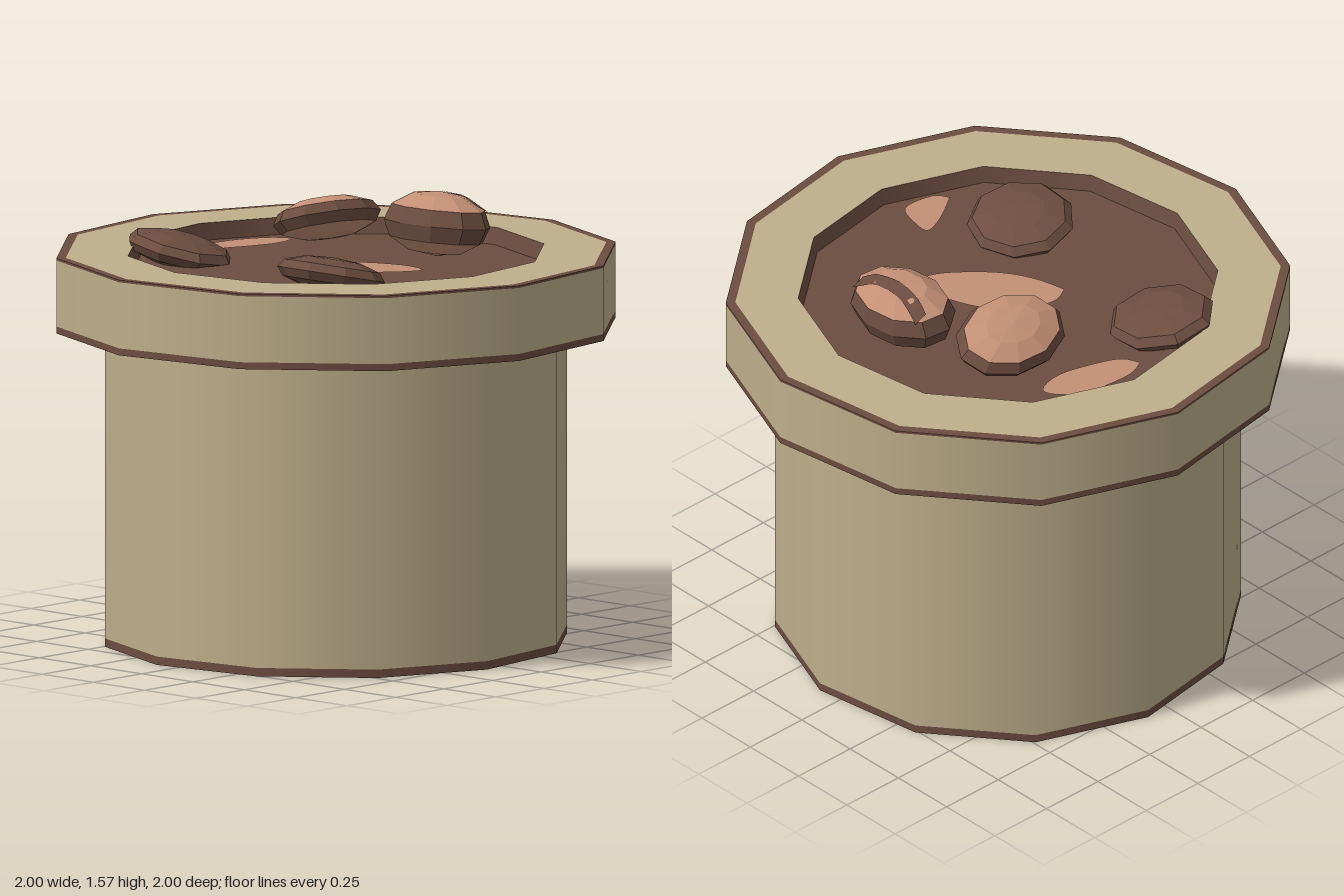
import * as THREE from 'three';

const mat = (name, color) => {
  const m = new THREE.MeshStandardMaterial({ color });
  m.name = name;
  return m;
};

export function createModel() {
  const model = new THREE.Group();
  model.name = 'soilPot';
  const clay = mat('sandyClay', 0xbfaf8c);
  const brown = mat('darkBrown', 0x6c4d40);
  const tan = mat('lightStone', 0xc49076);

  const add = (parent, name, geometry, material) => {
    const mesh = new THREE.Mesh(geometry, material);
    mesh.name = name;
    parent.add(mesh);
    return mesh;
  };
  const flat = (geometry) => {
    const g = geometry.toNonIndexed();
    g.computeVertexNormals();
    return g;
  };
  const v2 = (p) => new THREE.Vector2(p[0], p[1]);

  // Twelve-sided pot, walked from the base up the outside and down into the opening
  const SOIL = 1.34;
  const bands = [
    ['base', clay, [0, 0], [0.83, 0]],
    ['baseTrim', brown, [0.83, 0], [0.83, 0.03]],
    ['body', clay, [0.83, 0.03], [0.83, 1.13]],
    ['underRimTrim', brown, [0.83, 1.13], [0.88, 1.13]],
    ['rimUnderside', clay, [0.88, 1.13], [1.006, 1.13]],
    ['rimLowerTrim', brown, [1.006, 1.13], [1.006, 1.155]],
    ['rimSide', clay, [1.006, 1.155], [1.006, 1.392]],
    ['rimUpperTrim', brown, [1.006, 1.392], [1.006, 1.4]],
    ['rimEdgeTrim', brown, [1.006, 1.4], [0.972, 1.4]],
    ['rimTop', clay, [0.972, 1.4], [0.748, 1.4]],
    ['innerWall', brown, [0.748, 1.4], [0.735, SOIL]],
    ['soil', brown, [0.735, SOIL], [0, SOIL]],
  ];
  for (const [name, m, a, b] of bands) {
    add(model, name, new THREE.LatheGeometry([v2(a), v2(b)], 12, 0.412), m);
  }

  // Pale flat patches on the soil, outlined as x, z
  const patches = [
    [[-0.06, -0.62], [0.02, -0.65], [0.17, -0.635], [0.28, -0.58], [0.31, -0.51], [0.2, -0.48], [0.05, -0.52], [-0.03, -0.56]],
    [[-0.18, -0.1], [-0.1, -0.13], [0.02, -0.08], [0.12, 0.03], [0.17, 0.18], [0.14, 0.29], [0.05, 0.26], [-0.08, 0.14], [-0.15, 0.02]],
    [[-0.28, 0.6], [-0.17, 0.53], [-0.08, 0.5], [-0.08, 0.57], [-0.12, 0.66], [-0.24, 0.65]],
  ];
  for (const pts of patches) {
    const curve = new THREE.SplineCurve([...pts, pts[0]].map(([x, z]) => new THREE.Vector2(x, -z)));
    const g = new THREE.ShapeGeometry(new THREE.Shape(curve.getPoints(32)));
    g.rotateX(-Math.PI / 2);
    add(model, 'soilPatch', g, tan).position.y = SOIL + 0.005;
  }

  // Faceted lens-shaped stones: lower cap, rim and upper cap
  const lower = [[0, -1], [0.5, -0.88], [0.88, -0.5]];
  const rim = [[0.88, -0.5], [1, 0], [0.88, 0.5]];
  const upper = [[0.88, 0.5], [0.5, 0.88], [0, 1]];
  function stone(name, position, size, tiltX, tiltZ, sides, turn, capMaterial) {
    const group = new THREE.Group();
    group.name = name;
    group.position.set(...position);
    group.rotation.set(tiltX, 0, tiltZ);
    group.scale.set(...size);
    const part = (label, pts, m) =>
      add(group, label, flat(new THREE.LatheGeometry(pts.map(v2), sides, turn)), m);
    part('stoneUnderside', lower, capMaterial);
    part('stoneRim', rim, brown);
    part('stoneTop', upper, capMaterial);
    model.add(group);
    return group;
  }
  stone('darkStoneBack', [-0.275, 1.375, -0.5], [0.19, 0.06, 0.205], 0.17, -0.15, 8, 0.3, brown);
  stone('darkStoneFront', [-0.325, 1.385, 0.28], [0.185, 0.06, 0.205], 0, -0.22, 9, 0.1, brown);
  stone('paleStoneBack', [0.265, 1.45, -0.295], [0.22, 0.075, 0.165], -0.32, -0.08, 10, 0.2, tan);
  const striped = stone('stripedStone', [0.425, 1.455, 0.09], [0.155, 0.115, 0.22], 0, -0.1, 10, 0.15, tan);

  // Curved dark stripe lying over the striped stone's upper cap
  const capHeight = (r) => (r < 0.5 ? 1 - 0.24 * r : 0.88 - (r - 0.5));
  const positions = [];
  const index = [];
  const steps = 12;
  for (let i = 0; i <= steps; i++) {
    const z = -0.74 + (1.48 * i) / steps;
    for (const side of [-0.17, 0.17]) {
      const x = 0.2 + 0.35 * z * z + side;
      positions.push(x, capHeight(Math.hypot(x, z)) + 0.03, z);
    }
    if (i < steps) {
      const a = i * 2;
      index.push(a, a + 2, a + 1, a + 1, a + 2, a + 3);
    }
  }
  const stripe = new THREE.BufferGeometry();
  stripe.setAttribute('position', new THREE.Float32BufferAttribute(positions, 3));
  stripe.setIndex(index);
  stripe.computeVertexNormals();
  add(striped, 'stoneStripe', stripe, brown);

  return model;
}
